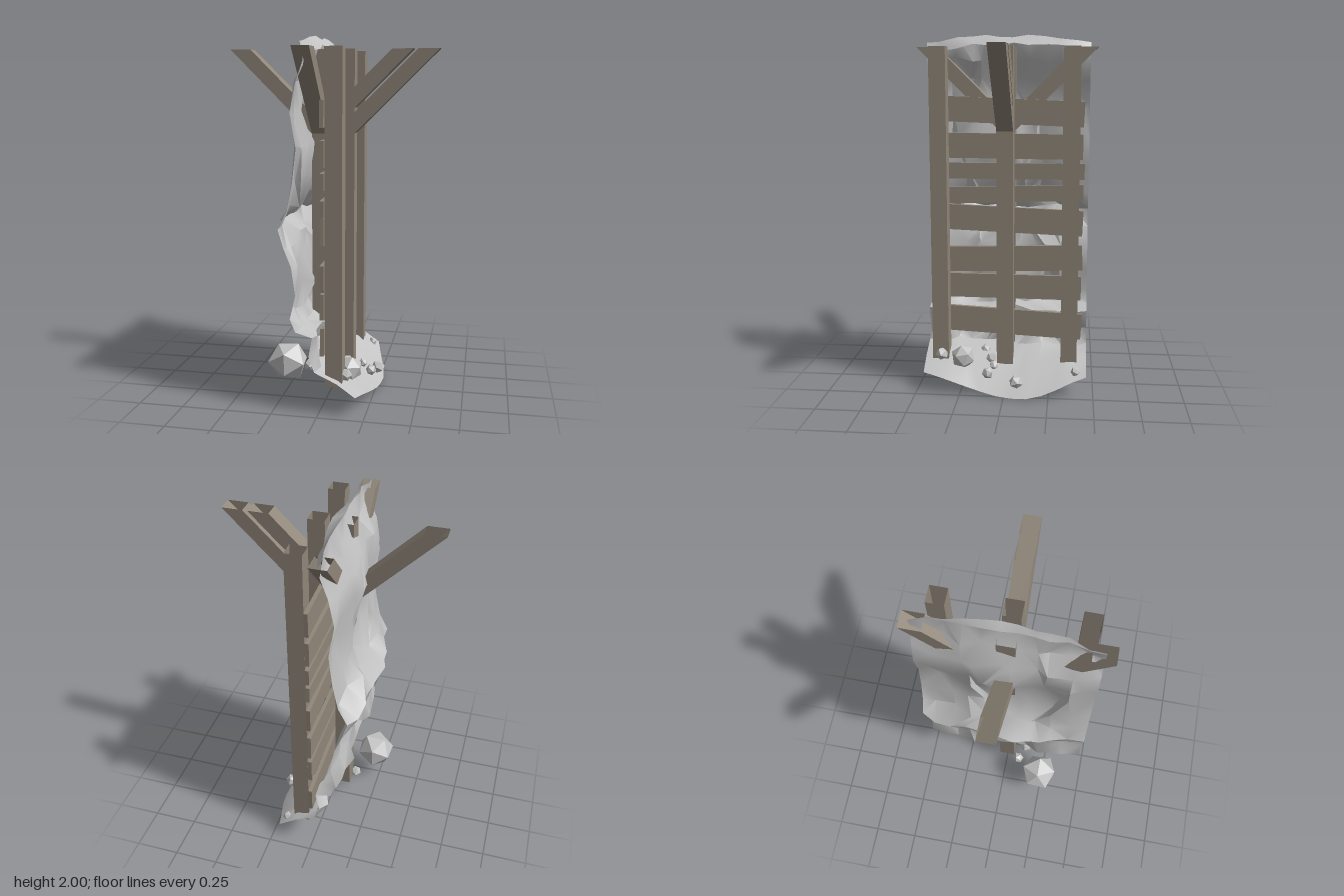
import * as THREE from 'three';
import { toCreasedNormals } from 'three/addons/utils/BufferGeometryUtils.js';

const TOP = 1.93, W = 0.092;

// Repeatable noise in -1..1
function noise(i, j, k) {
  const s = Math.sin(i * 127.1 + j * 311.7 + k * 74.7) * 43758.5453;
  return (s - Math.floor(s)) * 2 - 1;
}

// Box without its upper face (hollow timber end)
function openBox(w, h, d) {
  const g = new THREE.BoxGeometry(w, h, d);
  const idx = Array.from(g.index.array);
  idx.splice(12, 6);
  g.setIndex(idx);
  g.clearGroups();
  return g;
}

// Diagonal brace rising outward at 45 degrees along local +x from a given start
function braceGeometry(start) {
  const g = openBox(1, 1, W);
  const p = g.attributes.position;
  for (let i = 0; i < p.count; i++) {
    const outer = p.getX(i) > 0;
    if (p.getY(i) > 0) p.setXY(i, outer ? 0.507 : 0.393, TOP);
    else p.setXY(i, start, start + (outer ? 1.425 : 1.54));
  }
  const flat = g.toNonIndexed();
  flat.computeVertexNormals();
  return flat;
}

// Cave wall with an overhanging lip, curling forward into a floor.
// Rows of [y, x at ends, x at middle, roughness]
function rockSheetGeometry() {
  const rows = [
    [1.91, -0.06, -0.01, 0.4], [1.955, -0.085, -0.07, 0.4], [1.86, -0.07, -0.1, 0.8], [1.75, -0.11, -0.14, 1],
    [1.6, -0.14, -0.17, 1], [1.42, -0.11, -0.13, 1], [1.25, -0.13, -0.15, 1], [1.1, -0.16, -0.2, 1],
    [1.0, -0.21, -0.28, 0.7], [0.9, -0.18, -0.21, 1], [0.8, -0.14, -0.16, 1], [0.65, -0.12, -0.13, 1],
    [0.52, -0.15, -0.17, 0.8], [0.45, -0.12, -0.12, 0.6], [0.425, -0.03, -0.05, 0.7], [0.32, -0.05, -0.06, 1],
    [0.235, -0.02, -0.03, 0.8], [0.18, 0.1, 0.09, 0.5], [0.11, 0.2, 0.265, 0],
  ];
  const cols = 11, pos = [], idx = [];
  rows.forEach(([y, xEnd, xMid, rough], r) => {
    const last = r === rows.length - 1;
    for (let c = 0; c <= cols; c++) {
      const t = (c / cols) * 2 - 1;
      const w = 1 - t * t;
      const free = c > 0 && c < cols ? rough : 0;
      let yy = y + free * 0.028 * noise(r, c, 1);
      if (r < 2) yy += 0.035 * w;
      let x = xEnd + (xMid - xEnd) * w + free * 0.032 * noise(r, c, 2);
      if (last) {
        yy -= 0.11 * Math.pow(w, 1.5) * (1 - 0.4 * t);
        x -= 0.018 * Math.sin(t * 4) * w;
      }
      pos.push(x, Math.min(2, Math.max(0, yy)), t * 0.46 + free * 0.045 * noise(r, c, 3));
    }
  });
  const n = cols + 1;
  for (let r = 0; r < rows.length - 1; r++) {
    for (let c = 0; c < cols; c++) {
      const a = r * n + c, b = a + 1, d = a + n, e = d + 1;
      if (noise(r, c, 4) > 0) idx.push(a, d, b, b, d, e);
      else idx.push(a, d, e, a, e, b);
    }
  }
  const g = new THREE.BufferGeometry();
  g.setAttribute('position', new THREE.Float32BufferAttribute(pos, 3));
  g.setIndex(idx);
  return toCreasedNormals(g, 0.75);
}

// Faceted boulder with uneven corners
function boulderGeometry(radius, seed) {
  const g = new THREE.IcosahedronGeometry(radius, 0);
  const p = g.attributes.position, v = new THREE.Vector3();
  const key = (q) => Math.round((q / radius) * 10);
  for (let i = 0; i < p.count; i++) {
    v.fromBufferAttribute(p, i);
    v.multiplyScalar(1 + 0.12 * noise(key(v.x) + seed, key(v.y), key(v.z)));
    p.setXYZ(i, v.x, v.y, v.z);
  }
  g.computeVertexNormals();
  return g;
}

export function createModel() {
  const wood = new THREE.MeshStandardMaterial({ color: 0x91877a });
  wood.name = 'weathered wood';
  wood.side = THREE.DoubleSide;
  const stone = new THREE.MeshStandardMaterial({ color: 0xc2c2c2 });
  stone.name = 'grey stone';
  stone.side = THREE.DoubleSide;

  const model = new THREE.Group();
  model.name = 'timberedRockWall';
  function add(name, geometry, material, x = 0, y = 0, z = 0) {
    const mesh = new THREE.Mesh(geometry, material);
    mesh.name = name;
    mesh.position.set(x, y, z);
    model.add(mesh);
    return mesh;
  }

  // Posts: three in front of the slats, one behind
  const bottom = 0.145;
  const postGeo = openBox(W, TOP - bottom, W);
  const postY = (TOP + bottom) / 2;
  for (const z of [0.372, 0.003, -0.36]) add('frontPost', postGeo, wood, 0.076, postY, z);
  add('backPost', postGeo, wood, -0.073, postY, 0.003);

  // Braces: three around the back post, a parallel pair on the middle front post
  const braceGeo = braceGeometry(0.04);
  for (let i = 1; i < 4; i++) add('backBrace', braceGeo, wood, -0.073, 0, 0.003).rotation.y = (i * Math.PI) / 2;
  add('frontBrace', braceGeo, wood, 0.073, 0, 0.003);
  add('upperFrontBrace', braceGeometry(0.1), wood, -0.068, 0, 0.003);

  // Slats: [middle height, width, tilt, rear end z]
  const slats = [
    [0.365, 0.15, 0.05, -0.43], [0.577, 0.14, 0.008, -0.425], [0.742, 0.145, -0.025, -0.43],
    [0.967, 0.145, 0.04, -0.43], [1.115, 0.09, -0.03, -0.43], [1.245, 0.09, 0, -0.435],
    [1.385, 0.14, 0.008, -0.425], [1.578, 0.14, 0.04, -0.43],
  ];
  for (const [y, h, tilt, zEnd] of slats) {
    const len = 0.41 - zEnd;
    const slat = add('slat', new THREE.BoxGeometry(0.022, h, len), wood, 0.012, y, (0.41 + zEnd) / 2);
    slat.rotation.x = -tilt;
  }

  // Rock wall and floor
  add('rockSheet', rockSheetGeometry(), stone);

  // Loose boulders: [x, y, z, radius]
  const boulders = [
    [-0.22, 0.21, 0.23, 0.115], [0.14, 0.19, 0.24, 0.075], [0.13, 0.2, 0.365, 0.037],
    [0.09, 0.165, 0.08, 0.04], [0.03, 0.2, 0.12, 0.03], [0.25, 0.09, -0.07, 0.04],
    [0.17, 0.13, -0.4, 0.027], [0.23, 0.13, 0.09, 0.033], [0.18, 0.16, 0.06, 0.025],
    [-0.13, 0.13, 0.08, 0.035], [-0.04, 0.16, 0.12, 0.05],
  ];
  boulders.forEach(([x, y, z, r], i) => {
    add('boulder', boulderGeometry(r, i), stone, x, y, z).rotation.set(i * 0.7, i * 1.3, 0);
  });

  return model;
}
